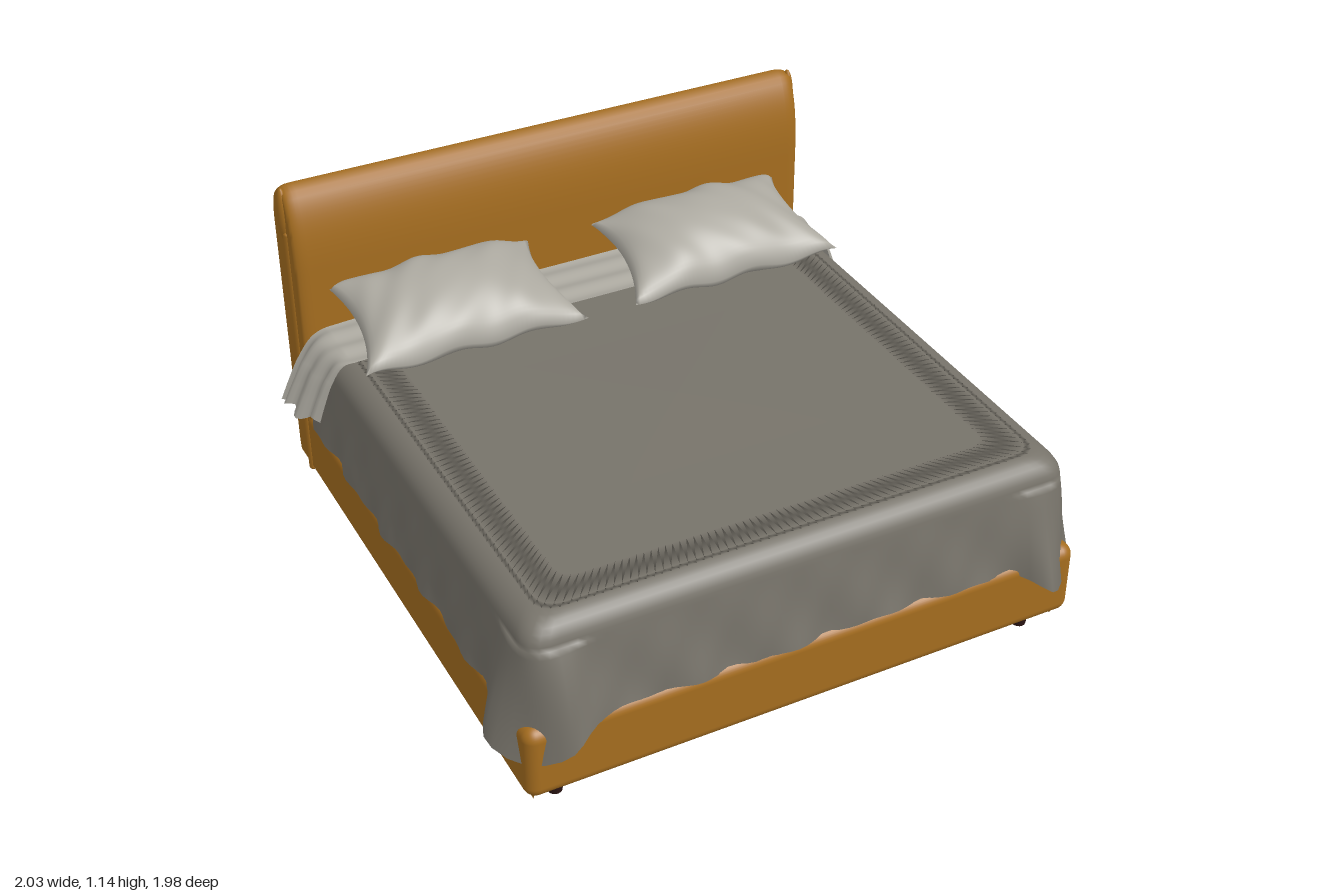
import * as THREE from 'three';
import { toCreasedNormals } from 'three/addons/utils/BufferGeometryUtils.js';
import { RoundedBoxGeometry } from 'three/addons/geometries/RoundedBoxGeometry.js';
import { ParametricGeometry } from 'three/addons/geometries/ParametricGeometry.js';

const material = (name, color, side = THREE.FrontSide) => {
  const m = new THREE.MeshStandardMaterial({ color, side });
  m.name = name;
  return m;
};

const bell = (d, width) => Math.exp(-((d / width) ** 2));

export function createModel() {
  const bed = new THREE.Group();
  bed.name = 'bed';
  const ochre = material('ochreUpholstery', 0xa56d1f);
  const taupe = material('taupeDuvet', 0x77736a, THREE.DoubleSide);
  const linen = material('paleLinen', 0xaba89f, THREE.DoubleSide);
  const wood = material('darkWood', 0x2c1614);

  const add = (name, geometry, mat, x = 0, y = 0, z = 0) => {
    const mesh = new THREE.Mesh(geometry, mat);
    mesh.name = name;
    mesh.position.set(x, y, z);
    bed.add(mesh);
    return mesh;
  };

  // Upholstered base with seams underneath
  add('base', new RoundedBoxGeometry(1.84, 0.25, 1.79, 5, 0.04), ochre, 0, 0.195, 0.025);
  add('undersideSeamAcross', new THREE.BoxGeometry(1.7, 0.006, 0.012), ochre, 0, 0.069, 0);
  add('undersideSeamAlong', new THREE.BoxGeometry(0.012, 0.006, 1.65), ochre, 0, 0.069, 0.03);

  // Padded headboard: side profile (x = depth) swept across the width
  const bevel = 0.02;
  const profile = new THREE.Shape();
  profile.moveTo(-0.97, 0.09);
  profile.lineTo(-0.84, 0.09);
  profile.quadraticCurveTo(-0.82, 0.2, -0.82, 0.4);
  profile.lineTo(-0.82, 0.86);
  profile.bezierCurveTo(-0.82, 0.98, -0.835, 1.06, -0.87, 1.115);
  profile.lineTo(-0.9, 1.12);
  profile.bezierCurveTo(-0.95, 1.1, -0.975, 1.06, -0.975, 0.98);
  profile.lineTo(-0.975, 0.12);
  profile.closePath();
  const depth = 1.74;
  const boardGeometry = new THREE.ExtrudeGeometry(profile, {
    depth, bevelEnabled: true, bevelSize: bevel, bevelThickness: 0.045, bevelSegments: 5, curveSegments: 14,
  });
  boardGeometry.translate(0, 0, -depth / 2);
  boardGeometry.rotateY(-Math.PI / 2);
  add('headboard', toCreasedNormals(boardGeometry, 0.9), ochre);

  for (const side of [-1, 1]) {
    // Gathered fabric roll at each end of the headboard
    const roll = add('headboardEndRoll', new THREE.SphereGeometry(1, 16, 12), ochre, side * 0.912, 1.045, -0.885);
    roll.scale.set(0.02, 0.095, 0.028);
    const welt = add('headboardEndWelt', new THREE.CapsuleGeometry(0.012, 0.9, 4, 8), ochre, side * 0.912, 0.53, -0.87);
    welt.scale.z = 1.4;
    // Tapered feet and small gathered fabric tips beside them
    for (const z of [0.83, -0.9]) {
      add('foot', new THREE.CylinderGeometry(0.033, 0.022, 0.08, 16), wood, side * 0.8, 0.04, z);
      add('fabricTip', new THREE.ConeGeometry(0.016, 0.05, 8).rotateX(Math.PI), ochre, side * 0.885, 0.06, z + 0.04);
    }
  }

  // Mattress
  add('mattress', new RoundedBoxGeometry(1.72, 0.32, 1.6, 4, 0.06), linen, 0, 0.46, 0.01);

  // Duvet: rounded outline, hanging sides with folds, flared front corners
  const W = 0.89, F = 0.88, B = -0.78, R = 0.08;
  const outline = new THREE.Path();
  outline.moveTo(0, B);
  outline.lineTo(-W + 0.03, B);
  outline.quadraticCurveTo(-W, B, -W, B + 0.03);
  outline.lineTo(-W, F - R);
  outline.quadraticCurveTo(-W, F, -W + R, F);
  outline.lineTo(W - R, F);
  outline.quadraticCurveTo(W, F, W, F - R);
  outline.lineTo(W, B + 0.03);
  outline.quadraticCurveTo(W, B, W - 0.03, B);
  outline.lineTo(0, B);
  const p = new THREE.Vector2();
  const duvet = (u, v, target) => {
    const a = Math.min(Math.max(u, 0), 1);
    outline.getPoint(a, p);
    const t = outline.getTangent(a);
    const d = Math.hypot(Math.abs(p.x) - W, p.y - F);
    const hem = 0.305 - 0.115 * bell(d, 0.13) + 0.006 * Math.sin(u * 50);
    let y, out = 0, scale = 1;
    if (v < 0.5) {
      const s = v / 0.5;
      const folds = 0.007 * Math.sin(u * 145 + 3 * s) + 0.005 * Math.sin(u * 258 - 4 * s);
      y = hem + s * (0.56 - hem);
      out = (1 - s) * (0.035 + folds) + 0.06 * bell(d - 0.1, 0.06) * (1 - s) ** 0.8;
    } else if (v < 0.75) {
      const q = (v - 0.5) / 0.25 * Math.PI / 2;
      y = 0.56 + 0.085 * Math.sin(q);
      scale = 1 - 0.1 * (1 - Math.cos(q));
    } else {
      const s = (v - 0.75) / 0.25;
      y = 0.645 + 0.004 * s * s;
      scale = 0.9 * (1 - s) + 0.001;
    }
    // Keep the head end full length while the other edges round over
    const z = p.y < B + 0.01 && v < 0.75 ? p.y : 0.05 + (p.y - 0.05) * scale;
    target.set(p.x * scale - t.y * out, y, z + t.x * out);
  };
  add('duvet', new ParametricGeometry(duvet, 240, 32), taupe);

  // Turned-down sheet: drape section swept from the fold toward the headboard
  const half = [[1, 0.45], [0.97, 0.52], [0.935, 0.59], [0.88, 0.655], [0.78, 0.668]];
  const drape = new THREE.CatmullRomCurve3([
    ...half.map(([x, y]) => new THREE.Vector3(-x, y, 0)),
    new THREE.Vector3(0, 0.672, 0),
    ...half.slice().reverse().map(([x, y]) => new THREE.Vector3(x, y, 0)),
  ]);
  const sheet = (u, v, target) => {
    drape.getPoint(Math.min(Math.max(u, 0), 1), target);
    const hang = Math.max(0, (Math.abs(target.x) - 0.84) / 0.16);
    const flare = (v < 0.5 ? -0.045 * (1 - 2 * v) : 0) + 0.014 * Math.sin(v * 19);
    target.x += Math.sign(target.x) * hang * flare;
    target.y += 0.004 * Math.sin(v * 16 + u * 5) - 0.035 * hang * v + 0.015 * hang * Math.sin(v * 12);
    target.z = -0.535 - 0.25 * v - 0.045 * hang;
  };
  add('turnedDownSheet', new ParametricGeometry(sheet, 80, 20), linen);

  // Pillows: two cushioned halves meeting in a seam with pointed corners
  const pillowHalf = (face) => (u, v, target) => {
    const a = 2 * u - 1, b = face * (2 * v - 1);
    const ea = Math.max(0, 1 - a * a), eb = Math.max(0, 1 - b * b);
    const puff = Math.pow(ea * eb, 0.45);
    const x = a * (0.365 - 0.045 * eb - 0.015 * b);
    const depthZ = -b * (0.2 - 0.018 * ea);
    const wrinkle = 0.005 * Math.sin(a * 14 + b * 6) * (1 - puff) * ea * eb * 4;
    const seam = 0.01 * Math.sin(a * 9) * b * b;
    const y = face * puff * (face > 0 ? 0.12 : 0.07) + wrinkle + seam + 0.045 * b;
    target.set(x, y, depthZ);
  };
  for (const side of [-1, 1]) {
    const pillow = new THREE.Group();
    pillow.name = side > 0 ? 'leftPillow' : 'rightPillow';
    pillow.position.set(side * 0.465, 0.74, -0.605);
    pillow.scale.x = side;
    for (const face of [1, -1]) {
      const mesh = new THREE.Mesh(new ParametricGeometry(pillowHalf(face), 48, 36), linen);
      mesh.name = face > 0 ? 'pillowTop' : 'pillowUnderside';
      pillow.add(mesh);
    }
    bed.add(pillow);
  }
  return bed;
}
